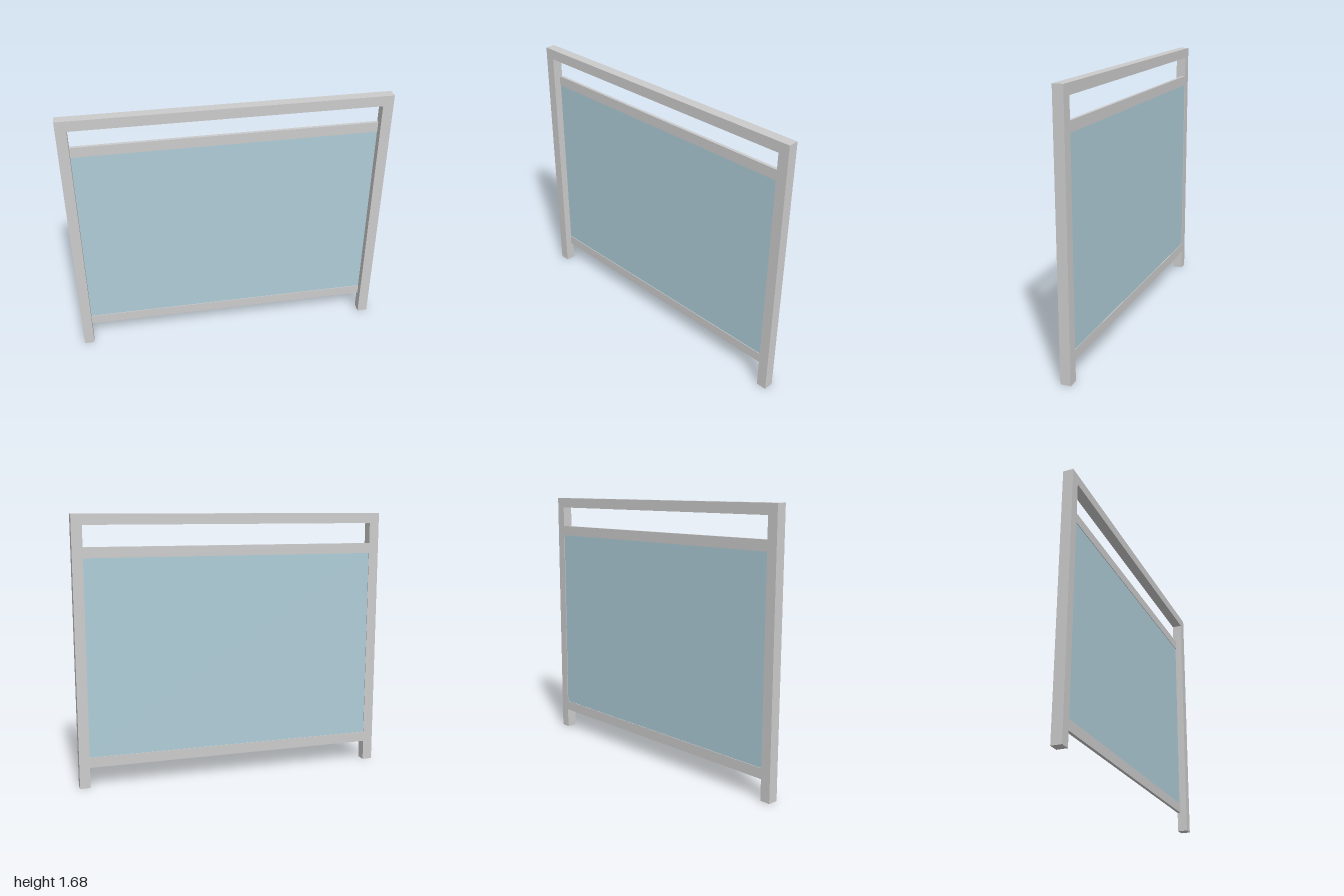
import * as THREE from 'three';

const W = 2, H = 1.68, T = 0.065; // overall width, height and bar size

export function createModel() {
  const group = new THREE.Group();
  group.name = 'glazedRailing';
  const metal = new THREE.MeshStandardMaterial({ color: 0xcccccc });
  const glass = new THREE.MeshStandardMaterial({ color: 0xaeccd7 });

  const add = (name, geometry, material, y, z) => {
    const mesh = new THREE.Mesh(geometry, material);
    mesh.name = name;
    mesh.position.set(0, y, z);
    group.add(mesh);
  };

  // Two posts and the handrail as one continuous square-section arch
  const h = W / 2, i = h - T;
  const outline = [[-h, 0], [-i, 0], [-i, H - T], [i, H - T], [i, 0], [h, 0], [h, H], [-h, H]];
  const arch = new THREE.Shape(outline.map(([x, y]) => new THREE.Vector2(x, y)));
  add('outerFrame', new THREE.ExtrudeGeometry(arch, { depth: T, bevelEnabled: false }), metal, 0, -T / 2);

  // Thin flat rails, flush with the back of the posts
  const railDepth = 0.02, railZ = -T / 2 + railDepth / 2;
  const bottomY = 0.13, upperY = 1.42;
  for (const [name, y] of [['bottomRail', bottomY], ['upperRail', upperY]]) {
    add(name, new THREE.BoxGeometry(2 * i, T, railDepth), metal, y + T / 2, railZ);
  }

  // Glass pane held between the rails
  const paneHeight = upperY - bottomY - T;
  add('glassPane', new THREE.BoxGeometry(2 * i, paneHeight, 0.012), glass, bottomY + T + paneHeight / 2, railZ);

  return group;
}
